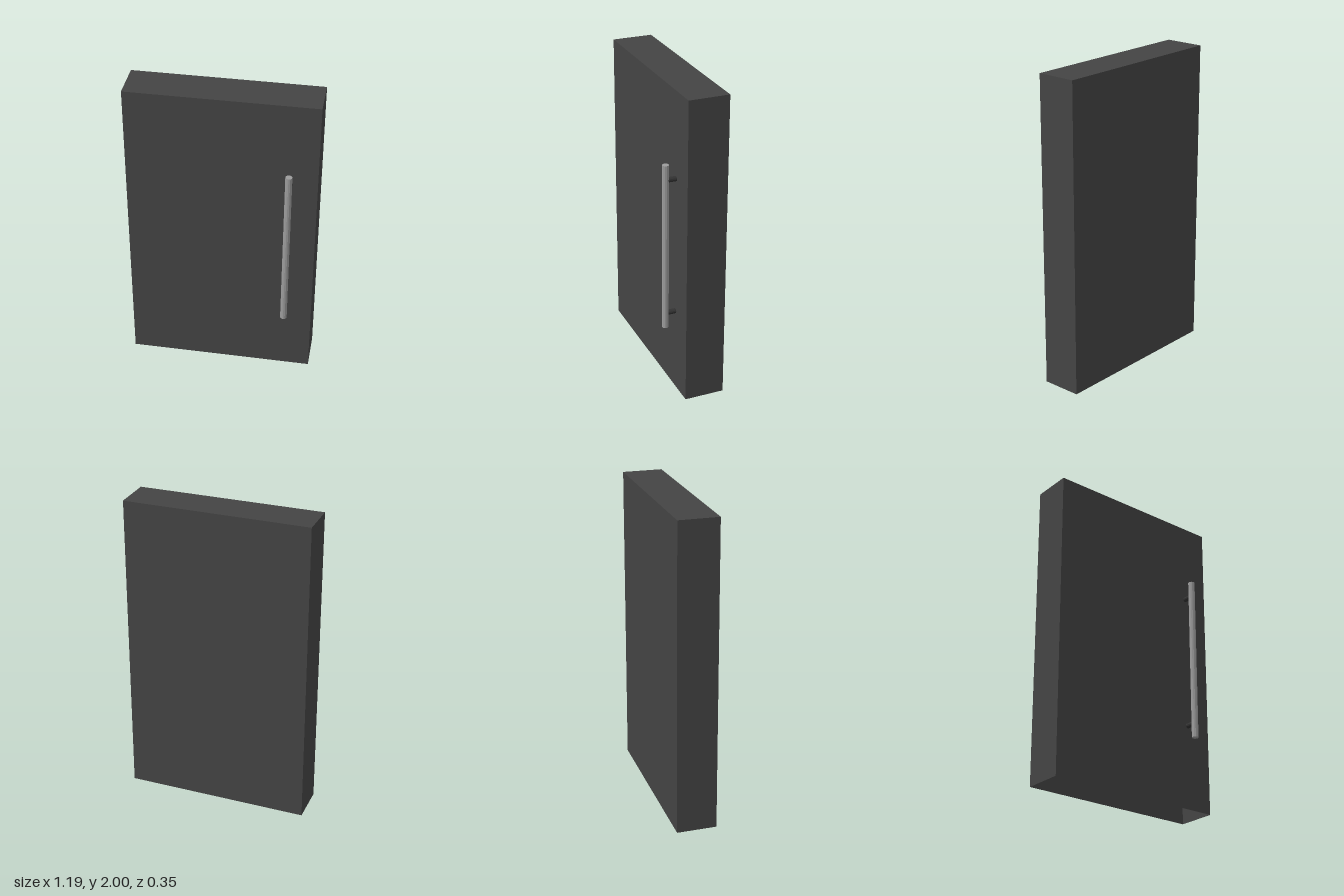
import * as THREE from 'three';

export function createModel() {
  const model = new THREE.Group();
  model.name = 'door';

  const panelMat = new THREE.MeshStandardMaterial({ color: 0x444444, side: THREE.DoubleSide });
  panelMat.name = 'charcoal panel';
  const barMat = new THREE.MeshStandardMaterial({ color: 0x9c9c9c, flatShading: true });
  barMat.name = 'brushed steel';
  const postMat = new THREE.MeshStandardMaterial({ color: 0x333333, flatShading: true });
  postMat.name = 'dark metal';

  const add = (parent, name, geometry, material, x, y, z) => {
    const mesh = new THREE.Mesh(geometry, material);
    mesh.name = name;
    mesh.position.set(x, y, z);
    parent.add(mesh);
    return mesh;
  };

  // Door slab: a hollow shell, open underneath (the box's bottom face is left out)
  const shell = new THREE.BoxGeometry(1.188, 2, 0.257);
  const bottom = shell.groups[3];
  const index = Array.from(shell.index.array);
  index.splice(bottom.start, bottom.count);
  shell.setIndex(index);
  shell.clearGroups();
  add(model, 'doorPanel', shell, panelMat, 0, 1, -0.0445);

  // Pull handle: upright bar on two stand-off posts
  const handle = new THREE.Group();
  handle.name = 'pullHandle';
  handle.position.set(0.423, 1.003, 0);
  model.add(handle);
  add(handle, 'handleBar', new THREE.CylinderGeometry(0.0215, 0.0215, 1.097, 12), barMat, 0, 0, 0.1515);
  for (const side of [-1, 1]) {
    const post = add(handle, side > 0 ? 'upperPost' : 'lowerPost',
      new THREE.CylinderGeometry(0.016, 0.016, 0.068, 12), postMat, 0, side * 0.45, 0.117);
    post.rotation.x = Math.PI / 2;
  }

  return model;
}
